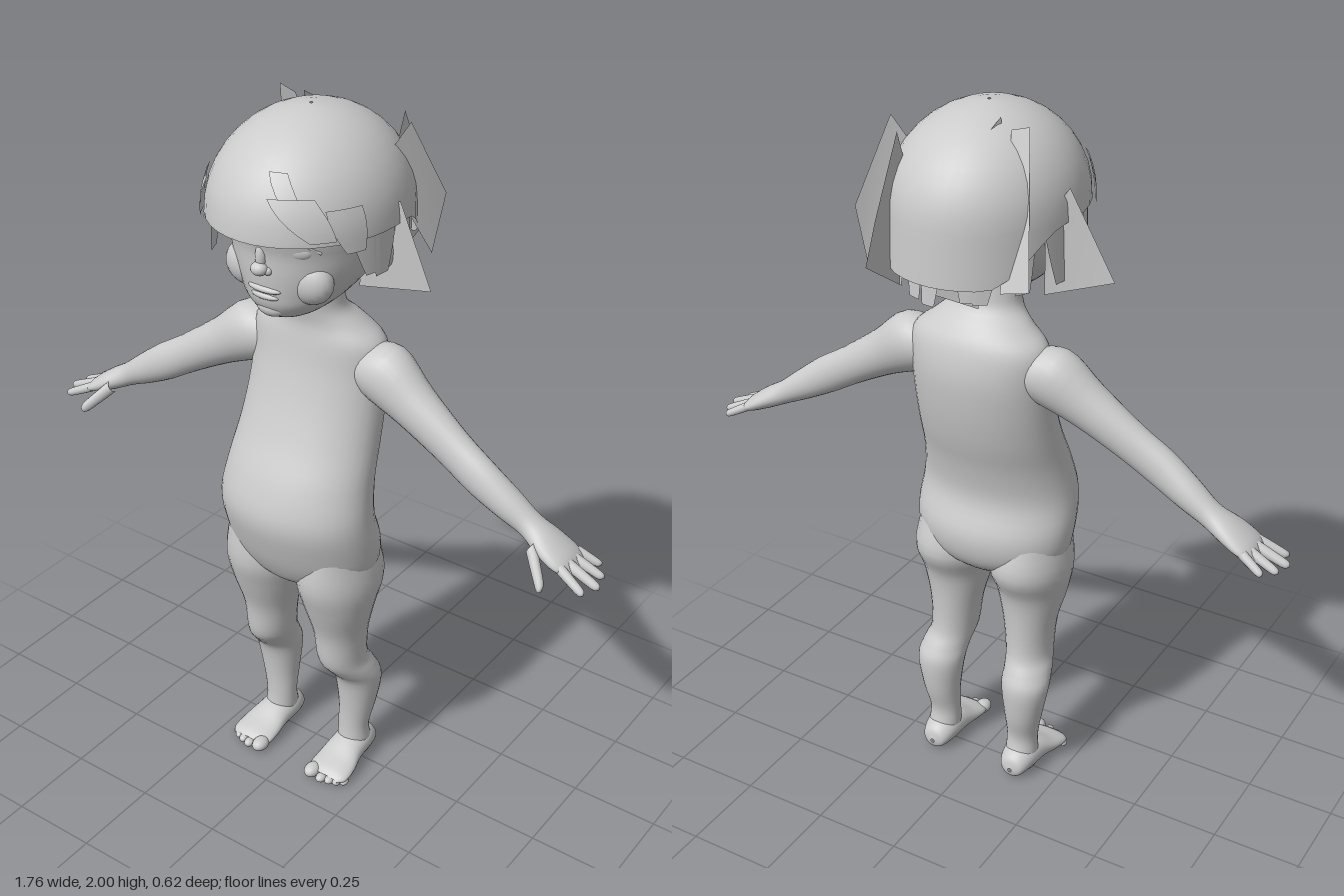
import * as THREE from 'three';

const V = (x, y, z) => new THREE.Vector3(x, y, z);
const skin = new THREE.MeshStandardMaterial({ color: 0xcccccc });
const sheet = new THREE.MeshStandardMaterial({ color: 0xcccccc, side: THREE.DoubleSide });
const X = V(1, 0, 0), Y = V(0, 1, 0), Z = V(0, 0, 1);

function add(group, name, geometry, material = skin) {
  const mesh = new THREE.Mesh(geometry, material);
  mesh.name = name;
  group.add(mesh);
  return mesh;
}

// Grid of welded rings, closed around
function rings(points, rows, seg, flip = false) {
  const index = [];
  for (let i = 0; i < rows - 1; i++) for (let j = 0; j < seg; j++) {
    const a = i * seg + j, b = i * seg + (j + 1) % seg, c = a + seg, d = b + seg;
    flip ? index.push(a, c, b, b, c, d) : index.push(a, b, c, b, d, c);
  }
  const g = new THREE.BufferGeometry().setFromPoints(points);
  g.setIndex(index);
  g.computeVertexNormals();
  return g;
}

// Smooth loft through ellipses: row = [x, y, z, half size along u, half size along v]
function loft(table, u, v, seg = 28, steps = 4) {
  const mid = new THREE.CatmullRomCurve3(table.map(r => V(r[0], r[1], r[2])), false, 'catmullrom', 0.5);
  const size = new THREE.CatmullRomCurve3(table.map(r => V(r[3], r[4], 0)), false, 'catmullrom', 0.5);
  const n = (table.length - 1) * steps, pts = [];
  for (let i = 0; i <= n; i++) {
    const c = mid.getPoint(i / n), s = size.getPoint(i / n);
    for (let j = 0; j < seg; j++) {
      const t = j / seg * Math.PI * 2;
      pts.push(c.clone().addScaledVector(u, Math.max(s.x, 0.001) * Math.cos(t))
        .addScaledVector(v, Math.max(s.y, 0.001) * Math.sin(t)));
    }
  }
  const dir = mid.getPoint(1).sub(mid.getPoint(0));
  return rings(pts, n + 1, seg, V(0, 0, 0).crossVectors(u, v).dot(dir) < 0);
}

function ball(group, name, p, r, material) {
  const m = add(group, name, new THREE.SphereGeometry(1, 20, 14), material);
  m.position.set(...p);
  m.scale.set(...r);
  return m;
}

// Hair cap surface: angle 0 faces front, y is height
function capPoint(angle, y, lift = 0) {
  const u = Math.min(1, (2 - y) / 0.25);
  const k = Math.sqrt(1 - (1 - u) ** 2) + Math.max(0, 1.75 - y) * 0.15;
  return V((0.25 * k + lift) * Math.sin(angle), y, 0.02 + (0.29 * k + lift) * Math.cos(angle));
}

// Flat convex card of hair
function card(group, name, pts) {
  const g = new THREE.BufferGeometry().setFromPoints(pts.map(p => V(...p)));
  const index = [];
  for (let i = 1; i < pts.length - 1; i++) index.push(0, i, i + 1);
  g.setIndex(index);
  g.computeVertexNormals();
  add(group, name, g, sheet);
}

// Tapered lock lying on the cap
function lock(group, name, angle, top, bottom, width, skew, lift) {
  const g = new THREE.PlaneGeometry(1, 1, 3, 5), p = g.attributes.position;
  for (let i = 0; i < p.count; i++) {
    const t = 0.5 - p.getY(i);
    const a = angle + p.getX(i) * width * (1 - 0.5 * t * t) + skew * t;
    const q = capPoint(a, top + (bottom - top) * t, lift);
    p.setXYZ(i, q.x, q.y, q.z);
  }
  g.computeVertexNormals();
  add(group, name, g, sheet);
}

function buildHead() {
  const head = new THREE.Group();
  head.name = 'head';
  // y, half width, front z, back z
  const skull = [[1.487, 0.01, 0.13, 0.11], [1.495, 0.065, 0.185, 0.03], [1.53, 0.115, 0.213, -0.03],
    [1.57, 0.15, 0.222, -0.10], [1.62, 0.18, 0.228, -0.16], [1.68, 0.2, 0.232, -0.19],
    [1.75, 0.21, 0.245, -0.21], [1.85, 0.185, 0.21, -0.18], [1.93, 0.11, 0.13, -0.1], [1.955, 0.005, 0.03, 0.02]];
  add(head, 'skull', loft(skull.map(([y, w, f, b]) => [0, y, (f + b) / 2, w, (f - b) / 2]), X, Z, 36));
  ball(head, 'noseBridge', [0, 1.672, 0.226], [0.015, 0.04, 0.016]);
  ball(head, 'noseTip', [0, 1.643, 0.236], [0.023, 0.018, 0.02]);
  ball(head, 'upperLip', [0, 1.583, 0.214], [0.05, 0.011, 0.018]);
  ball(head, 'lowerLip', [0, 1.563, 0.21], [0.043, 0.011, 0.018]);
  ball(head, 'chin', [0, 1.522, 0.188], [0.042, 0.025, 0.025]);
  for (const s of [-1, 1]) {
    ball(head, 'nostril', [s * 0.02, 1.638, 0.226], [0.011, 0.011, 0.012]);
    ball(head, 'cheek', [s * 0.095, 1.605, 0.155], [0.065, 0.06, 0.045]);
    ball(head, 'eye', [s * 0.092, 1.7, 0.196], [0.037, 0.024, 0.016]).rotation.y = s * 0.4;
    const lid = new THREE.CatmullRomCurve3([V(s * 0.055, 1.69, 0.222), V(s * 0.08, 1.722, 0.218),
      V(s * 0.11, 1.722, 0.205), V(s * 0.142, 1.698, 0.175)]);
    add(head, 'eyelid', new THREE.TubeGeometry(lid, 14, 0.004, 6));
    const ear = ball(head, 'ear', [s * 0.208, 1.665, -0.005], [0.017, 0.055, 0.036]);
    ear.rotation.set(-0.15, s * -0.4, 0);
  }
  return head;
}

function buildHair() {
  const hair = new THREE.Group();
  hair.name = 'hair';
  // Cap with a straight fringe and a longer back
  const seg = 40, dome = 10, drop = 4, pts = [];
  for (let i = 0; i <= dome + drop; i++) for (let j = 0; j < seg; j++) {
    const a = j / seg * Math.PI * 2 - Math.PI;
    const hem = 1.742 - 0.13 * THREE.MathUtils.smoothstep(Math.abs(a), 1.75, 2.6);
    const phi = Math.max(0.01, i / dome) * Math.PI / 2;
    const y = i <= dome ? 1.75 + 0.25 * Math.cos(phi) : 1.75 + (hem - 1.75) * (i - dome) / drop;
    pts.push(capPoint(a, y));
  }
  add(hair, 'hairCap', rings(pts, dome + drop + 1, seg, true), sheet);
  // Locks hanging from the sides and back
  let seed = 7;
  const rand = () => (seed = seed * 16807 % 2147483647) / 2147483647;
  for (let i = 0; i < 13; i++) {
    const a = 1.2 + i * (Math.PI * 2 - 2.4) / 12;
    const back = -Math.cos(a);
    lock(hair, 'hangingLock', a, 1.8, 1.64 - 0.06 * Math.max(0, back) - 0.04 * rand(), 0.32,
      (rand() - 0.5) * 0.3, back > 0.4 ? -0.03 : -0.012);
  }
  // Raised locks on the fringe
  lock(hair, 'fringeLock', 0.33, 1.91, 1.8, 0.22, 0.3, 0.012);
  lock(hair, 'fringeLock', 0.5, 1.86, 1.76, 0.45, 0.3, 0.018);
  lock(hair, 'fringeLock', -0.9, 1.84, 1.72, 0.4, -0.1, 0.01);
  lock(hair, 'fringeLock', 1.0, 1.83, 1.72, 0.35, 0.1, 0.01);
  // Stray cards that flare out
  card(hair, 'rightFlare', [[-0.25, 1.83, -0.02], [-0.37, 1.6, 0], [-0.19, 1.54, -0.03], [-0.2, 1.75, -0.05]]);
  card(hair, 'leftFlare', [[0.25, 1.8, 0], [0.34, 1.58, -0.01], [0.12, 1.53, -0.02], [0.16, 1.75, 0]]);
  card(hair, 'backFlare', [[0.14, 1.95, -0.18], [0.15, 1.75, -0.27], [0.155, 1.64, -0.31], [0.13, 1.56, -0.2], [0.12, 1.72, -0.12]]);
  card(hair, 'backRightCard', [[-0.17, 1.985, -0.08], [-0.12, 1.97, -0.08], [-0.16, 1.6, -0.2], [-0.24, 1.62, -0.2]]);
  card(hair, 'backLeftCard', [[0.21, 1.96, -0.1], [0.25, 1.75, -0.21], [0.22, 1.58, -0.2], [0.15, 1.85, -0.06]]);
  card(hair, 'crownCard', [[-0.08, 1.99, -0.06], [-0.05, 1.9, -0.2], [-0.06, 1.75, -0.25], [-0.1, 1.85, -0.08]]);
  card(hair, 'napeCard', [[-0.11, 1.75, -0.2], [0.11, 1.75, -0.2], [0.09, 1.53, -0.15], [-0.07, 1.52, -0.15]]);
  return hair;
}

function buildArm(s) {
  const arm = new THREE.Group();
  arm.name = s > 0 ? 'leftArm' : 'rightArm';
  const across = V(s * 0.5, 0.866, 0);
  const rows = [[0.1, 1.33, -0.02, 0.05, 0.05], [0.2, 1.315, -0.015, 0.085, 0.075], [0.31, 1.25, -0.005, 0.066, 0.06],
    [0.43, 1.175, 0.003, 0.055, 0.046], [0.52, 1.12, 0.008, 0.053, 0.043], [0.6, 1.07, 0.004, 0.044, 0.042],
    [0.665, 1.03, 0, 0.034, 0.038], [0.72, 1.0, 0.003, 0.03, 0.056], [0.775, 0.97, 0.003, 0.021, 0.062],
    [0.805, 0.955, 0, 0.004, 0.04]];
  add(arm, 'armAndPalm', loft(rows.map(r => [s * r[0], ...r.slice(1)]), across, Z));
  // Root, tip and thickness of each finger and the thumb
  const digits = [[0.775, 0.972, -0.047, 0.84, 0.938, -0.066, 0.012], [0.78, 0.97, -0.018, 0.868, 0.932, -0.027, 0.013],
    [0.78, 0.97, 0.015, 0.88, 0.93, 0.02, 0.014], [0.775, 0.97, 0.045, 0.86, 0.93, 0.066, 0.013],
    [0.695, 1.0, 0.045, 0.765, 0.925, 0.108, 0.017]];
  digits.forEach(([x, y, z, x2, y2, z2, r], i) => {
    const at = (t, k) => [s * (x + (x2 - x) * t), y + (y2 - y) * t, z + (z2 - z) * t, r * k, r * k];
    add(arm, i < 4 ? 'finger' : 'thumb', loft([at(0, 1.1), at(0.5, 1), at(0.9, 0.8), at(1, 0.05)], across, Z, 12));
  });
  return arm;
}

function buildLeg(s) {
  const leg = new THREE.Group();
  leg.name = s > 0 ? 'leftLeg' : 'rightLeg';
  const side = rows => rows.map(r => [s * r[0], ...r.slice(1)]);
  add(leg, 'legColumn', loft(side([[0.13, 0.8, 0.062, 0.085, 0.12], [0.121, 0.69, 0.053, 0.114, 0.138],
    [0.122, 0.6, 0.06, 0.1, 0.107], [0.122, 0.5, 0.05, 0.076, 0.085], [0.125, 0.4, 0.043, 0.066, 0.08],
    [0.136, 0.35, 0.015, 0.068, 0.075], [0.141, 0.3, -0.012, 0.07, 0.066], [0.138, 0.2, -0.015, 0.055, 0.054],
    [0.132, 0.12, -0.007, 0.046, 0.043], [0.133, 0.06, -0.01, 0.047, 0.05], [0.135, 0.015, -0.012, 0.04, 0.05]]), X, Z));
  add(leg, 'foot', loft(side([[0.133, 0.03, -0.085, 0.006, 0.006], [0.133, 0.036, -0.074, 0.035, 0.032],
    [0.133, 0.046, -0.03, 0.051, 0.044], [0.135, 0.042, 0.035, 0.055, 0.04], [0.139, 0.029, 0.09, 0.064, 0.027],
    [0.14, 0.021, 0.135, 0.064, 0.019], [0.14, 0.018, 0.155, 0.045, 0.008]]), X, Y));
  [[0.096, 0.15, 0.023], [0.132, 0.157, 0.015], [0.157, 0.15, 0.014], [0.178, 0.142, 0.013], [0.195, 0.13, 0.012]]
    .forEach(([x, z, r]) => ball(leg, 'toe', [s * x, r * 0.85, z], [r, r * 0.85, r * 1.3]));
  return leg;
}

export function createModel() {
  const model = new THREE.Group();
  model.name = 'childFigure';
  add(model, 'torsoAndNeck', loft([[0, 0.64, 0.055, 0.02, 0.03], [0, 0.67, 0.055, 0.13, 0.1], [0, 0.72, 0.052, 0.215, 0.14],
    [0, 0.8, 0.062, 0.235, 0.162], [0, 0.9, 0.088, 0.23, 0.158], [0, 1.0, 0.068, 0.217, 0.152],
    [0, 1.1, 0.028, 0.208, 0.142], [0, 1.2, -0.003, 0.203, 0.132], [0, 1.3, -0.022, 0.2, 0.122],
    [0, 1.38, -0.022, 0.195, 0.108], [0, 1.43, -0.01, 0.14, 0.09], [0, 1.47, 0.012, 0.1, 0.074],
    [0, 1.52, 0.022, 0.092, 0.072], [0, 1.6, 0.03, 0.09, 0.07]], X, Z, 40));
  model.add(buildHead(), buildHair());
  for (const s of [-1, 1]) model.add(buildArm(s), buildLeg(s));
  return model;
}
